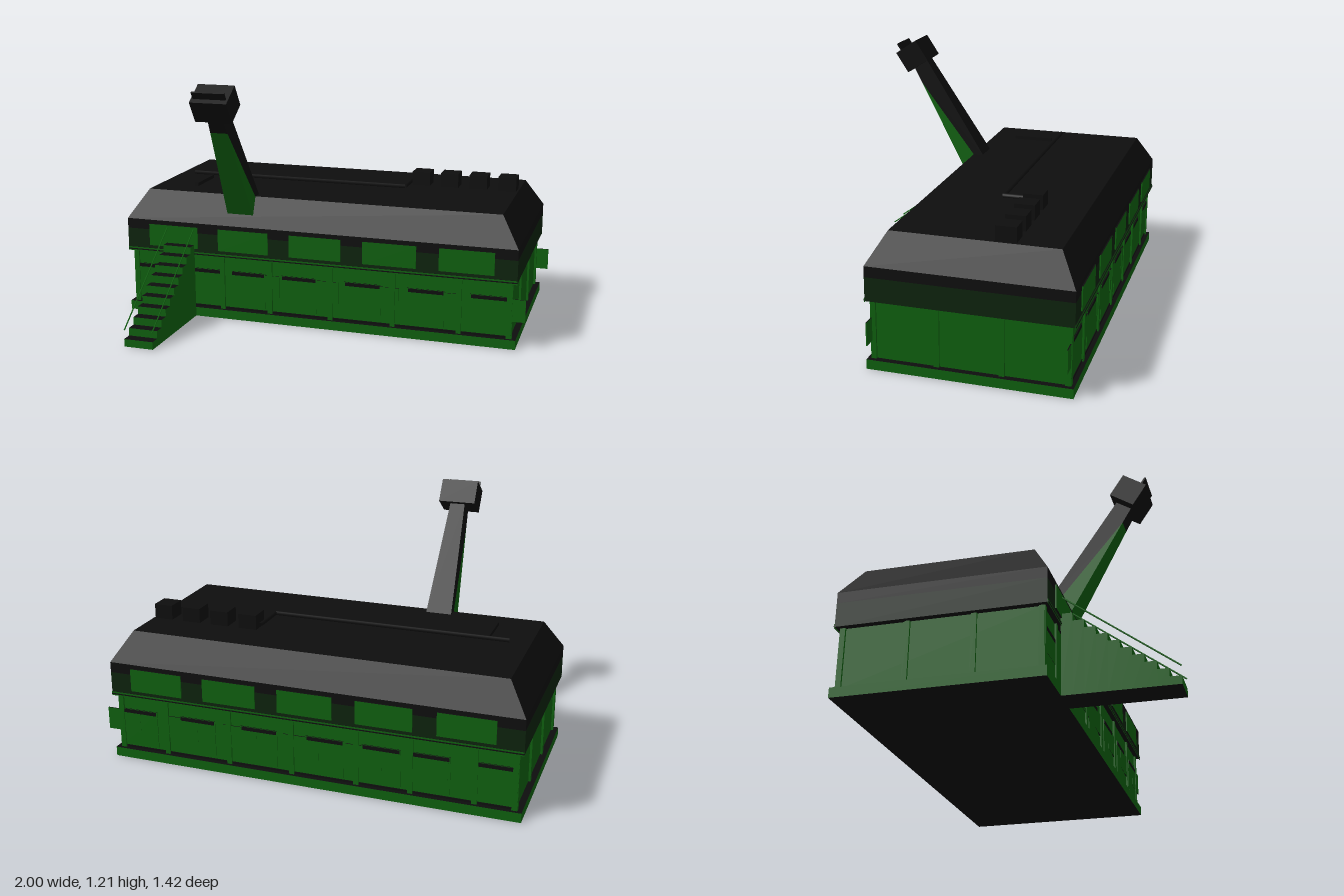
import * as THREE from 'three';

export function createModel() {
  const model = new THREE.Group();
  const paint = (name, color) => {
    const m = new THREE.MeshStandardMaterial({ color });
    m.name = name;
    return m;
  };
  const green = paint('green', 0x0f600f);
  const black = paint('black', 0x0e0e0e);
  const deep = paint('deep green', 0x0d230d);
  // Green upright faces, black tops and bottoms
  const capped = [green, green, black, black, green, green];

  const add = (name, geometry, material) => {
    const mesh = new THREE.Mesh(geometry, material);
    mesh.name = name;
    model.add(mesh);
    return mesh;
  };
  // Box given by its lower and upper corners
  const box = (name, x0, x1, y0, y1, z0, z1, material) => {
    const mesh = add(name, new THREE.BoxGeometry(x1 - x0, y1 - y0, z1 - z0), material);
    mesh.position.set((x0 + x1) / 2, (y0 + y1) / 2, (z0 + z1) / 2);
    return mesh;
  };
  // Round rod between two points
  const rod = (name, a, b, r, material) => {
    const curve = new THREE.LineCurve3(new THREE.Vector3(...a), new THREE.Vector3(...b));
    return add(name, new THREE.TubeGeometry(curve, 1, r, 6), material);
  };

  // Base and walls
  box('basePlate', -1, 0.96, 0, 0.045, -0.705, 0.215, capped);
  box('walls', -0.97, 0.93, 0.045, 0.32, -0.682, 0.192, green);

  // Overhanging band and sloped roof
  box('roofBand', -1, 0.96, 0.32, 0.43, -0.705, 0.215, [deep, deep, black, black, deep, deep]);
  box('roofEdge', -1, 0.96, 0.43, 0.48, -0.705, 0.215, black);
  const roof = new THREE.BoxGeometry(1.96, 0.14, 0.92).toNonIndexed();
  const rp = roof.attributes.position;
  for (let i = 0; i < rp.count; i++) {
    if (rp.getY(i) > 0) {
      rp.setX(i, rp.getX(i) - Math.sign(rp.getX(i)) * 0.088);
      rp.setZ(i, rp.getZ(i) - Math.sign(rp.getZ(i)) * 0.08);
    }
  }
  roof.computeVertexNormals();
  add('roof', roof, black).position.set(-0.02, 0.55, -0.245);

  // Long sides: posts, panels, shutters, upper windows and ledge
  const posts = [-0.965, -0.79, -0.5, -0.25, 0.06, 0.37, 0.69, 0.925];
  const panels = [-0.87, -0.59, -0.365, -0.1, 0.22, 0.53, 0.83];
  for (const side of [1, -1]) {
    const face = side > 0 ? 0.192 : -0.682;
    const eave = side > 0 ? 0.215 : -0.705;
    const plate = (name, x0, x1, y0, y1, from, depth, material) => {
      const end = from + side * depth;
      box(name, x0, x1, y0, y1, Math.min(from, end), Math.max(from, end), material);
    };
    for (const x of posts) plate('wallPost', x - 0.012, x + 0.012, 0.045, 0.32, face, 0.009, capped);
    for (const x of panels) {
      plate('wallPanel', x - 0.09, x + 0.09, 0.065, 0.245, face, 0.004, capped);
      plate('panelSlit', x - 0.085, x + 0.085, 0.226, 0.243, face, 0.006, black);
    }
    for (let i = 0; i < 7; i++) {
      const x = 0.915 - i * 0.3;
      if (x > -0.9) plate('shutter', x - 0.085, x + 0.085, 0.13, 0.238, face, 0.005, capped);
    }
    for (let i = 0; i < 5; i++) {
      const x = -0.75 + i * 0.3685;
      plate('upperWindow', x - 0.13, x + 0.13, 0.35, 0.46, eave, 0.006, capped);
    }
    plate('ledge', -1, 0.96, 0.315, 0.334, eave, 0.003, capped);
    plate('ledgeLine', -1, 0.96, 0.321, 0.326, eave, 0.005, black);
    plate('baseLine', -0.97, 0.93, 0.046, 0.056, face, 0.003, black);
  }

  // End posts
  for (const z of [0.187, -0.1, -0.39, -0.677]) {
    box('endPost', 0.93, 0.94, 0.045, 0.32, z - 0.012, z + 0.012, capped);
    box('endPost', -0.98, -0.97, 0.045, 0.32, z - 0.012, z + 0.012, capped);
  }

  // Staircase with rails
  for (let i = 0; i < 10; i++) {
    const z = 0.71 - i * 0.0495;
    box('stair', -0.785, -0.64, 0, 0.037 * (i + 1), z - 0.0495, z, capped);
  }
  for (const x of [-0.783, -0.642]) {
    rod('handrail', [x, 0.08, 0.71], [x, 0.45, 0.215], 0.0035, green);
  }

  // Leaning arm, narrowing in width toward the top
  const beam = (name, outline, material) => {
    const shape = new THREE.Shape(outline.map(([z, y]) => new THREE.Vector2(z, y)));
    const g = new THREE.ExtrudeGeometry(shape, { depth: 1, bevelEnabled: false });
    g.translate(0, 0, -0.5);
    g.rotateY(-Math.PI / 2);
    const p = g.attributes.position;
    for (let i = 0; i < p.count; i++) {
      const t = (p.getY(i) - 0.53) / 0.55;
      p.setX(i, p.getX(i) * (0.135 - 0.06 * t));
    }
    g.computeVertexNormals();
    add(name, g, material).position.x = -0.405;
  };
  beam('armBeam', [[0.08, 0.61], [0.13, 0.61], [0.425, 0.98], [0.47, 1.06], [0.4, 1.1]], black);
  beam('armBrace', [[0.18, 0.53], [0.425, 0.98], [0.13, 0.61], [0.1, 0.55]], green);

  // Head box and its small rod
  const head = add('armHead', new THREE.BoxGeometry(0.18, 0.117, 0.127), black);
  head.position.set(-0.405, 1.123, 0.463);
  head.rotation.x = 0.585;
  const fin = add('headFin', new THREE.BoxGeometry(0.16, 0.045, 0.008), black);
  fin.position.set(-0.405, 1.165, 0.532);
  fin.rotation.x = 0.585;

  // Rooftop pipes and vents
  rod('roofPipe', [-0.82, 0.638, -0.22], [0.325, 0.638, -0.22], 0.01, black);
  rod('roofPipe', [0.325, 0.638, -0.215], [0.325, 0.638, -0.4], 0.01, black);
  box('roofBar', -0.72, -0.7, 0.62, 0.637, -0.19, 0.01, black);
  for (let i = 0; i < 4; i++) {
    const x = 0.335 + i * 0.146;
    box('roofVent', x, x + 0.09, 0.615, 0.69, -0.43, -0.337, black);
  }
  return model;
}
